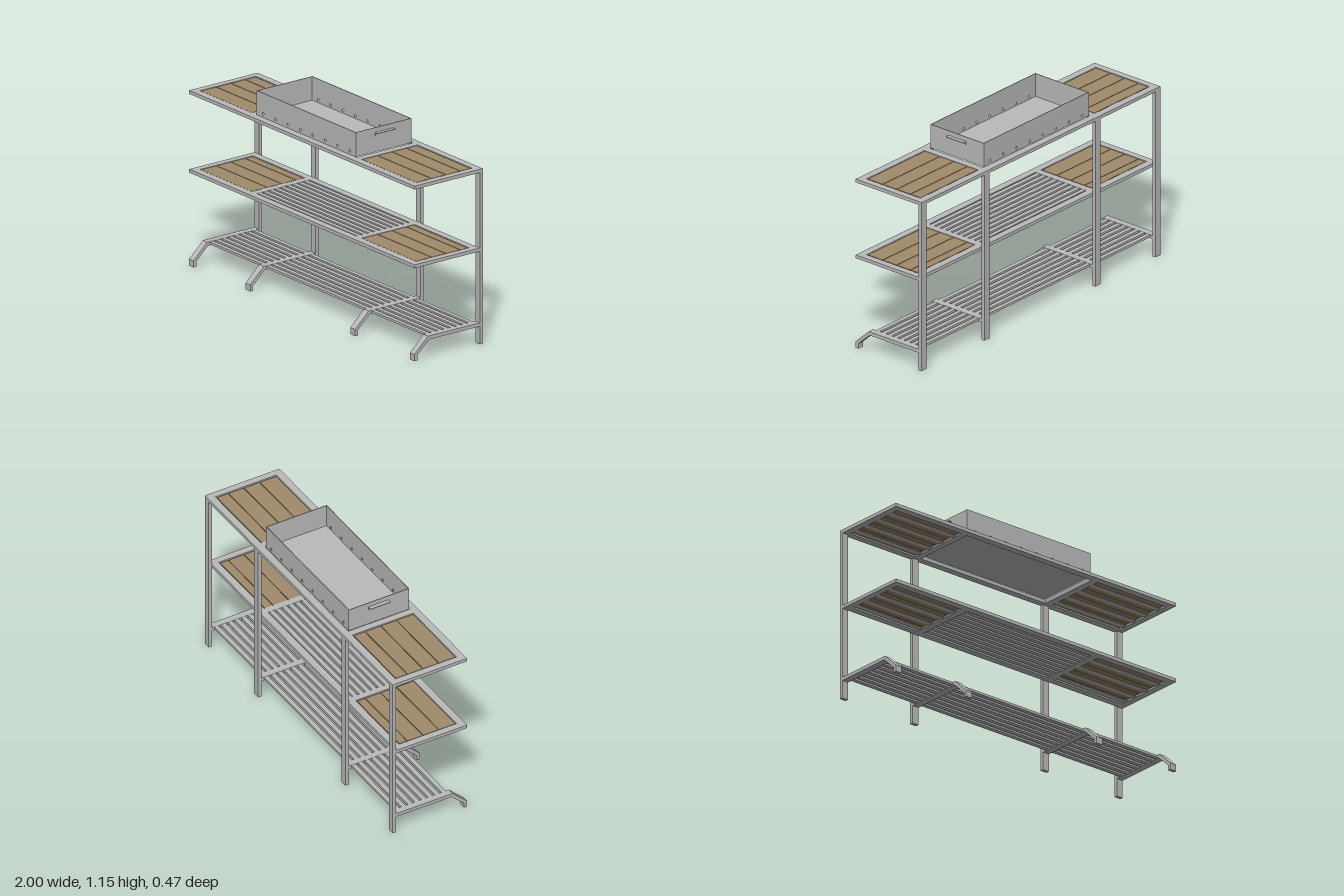
import * as THREE from 'three';

export function createModel() {
  const model = new THREE.Group();
  const steel = new THREE.MeshStandardMaterial({ color: 0xbababa });
  steel.name = 'steel';
  const wood = new THREE.MeshStandardMaterial({ color: 0xa08a6a });
  wood.name = 'wood';

  // Box given by its limits on each axis
  function box(name, [x0, x1], [y0, y1], [z0, z1], material = steel, parent = model) {
    const mesh = new THREE.Mesh(new THREE.BoxGeometry(x1 - x0, y1 - y0, z1 - z0), material);
    mesh.position.set((x0 + x1) / 2, (y0 + y1) / 2, (z0 + z1) / 2);
    mesh.name = name;
    parent.add(mesh);
    return mesh;
  }
  function group(name) {
    const g = new THREE.Group();
    g.name = name;
    model.add(g);
    return g;
  }

  const bays = [[-1, -0.96], [-0.498, -0.457], [0.432, 0.474], [0.96, 1]];
  const W = 0.043;

  // Shelf frame with cross bars and plank panels at both ends
  function shelf(name, y0, zBack) {
    const g = group(name);
    const y = [y0, y0 + 0.02];
    const zFront = 0.237;
    box('frontRail', [-1, 1], y, [zFront - W, zFront], steel, g);
    box('backRail', [-1, 1], y, [zBack, zBack + W], steel, g);
    bays.forEach((x) => box('crossBar', x, y, [zBack + W, zFront - W], steel, g));
    const cuts = [zBack + W + 0.004, -0.116, -0.017, 0.083, 0.191];
    for (const x of [[-0.955, -0.505], [0.476, 0.952]]) {
      for (let i = 0; i < 4; i++) {
        box('plank', x, [y0 + 0.005, y0 + 0.018], [cuts[i] + 0.002, cuts[i + 1] - 0.002], wood, g);
      }
      // Small tabs that carry the planks
      for (let i = 0; i < 4; i++) {
        const z = (cuts[i] + cuts[i + 1]) / 2;
        box('plankTab', [x[0] - 0.006, x[1] + 0.009], [y0 + 0.003, y0 + 0.005], [z - 0.015, z + 0.015], steel, g);
      }
    }
    return g;
  }
  shelf('topShelf', 1.039, -0.236);
  const middle = shelf('middleShelf', 0.584, -0.215);

  // Slats in the centre of the middle shelf
  for (let i = 0; i < 9; i++) {
    const z = -0.15 + i * 0.0405;
    box('slat', [-0.458, 0.433], [0.588, 0.603], [z - 0.013, z + 0.013], steel, middle);
  }

  // Posts and cranked legs
  const profile = [
    [-0.216, 0.151], [0.137, 0.151], [0.217, 0.077], [0.217, 0.047],
    [0.237, 0.047], [0.237, 0.085], [0.144, 0.172], [-0.216, 0.172],
  ];
  const legShape = new THREE.Shape(profile.map(([z, y]) => new THREE.Vector2(z, y)));
  for (const [x0, x1] of bays) {
    box('post', [x0, x1], [0.047, 1.04], [-0.236, -0.215]);
    const geometry = new THREE.ExtrudeGeometry(legShape, { depth: x1 - x0, bevelEnabled: false });
    geometry.rotateY(-Math.PI / 2);
    const leg = new THREE.Mesh(geometry, steel);
    leg.position.x = x1;
    leg.name = 'leg';
    model.add(leg);
  }

  // Slats of the bottom shelf
  const bottom = group('bottomShelf');
  for (let i = 0; i < 8; i++) {
    const z = -0.185 + i * 0.0425;
    box('slat', [-0.98, 0.98], [0.157, 0.171], [z - 0.013, z + 0.013], steel, bottom);
  }

  // Open fire box with air holes in its long walls
  const fireBox = group('fireBox');
  const [bx0, bx1, by0, by1, bz0, bz1, t] = [-0.455, 0.425, 1.059, 1.2, -0.19, 0.194, 0.004];
  const wall = new THREE.Shape();
  wall.moveTo(bx0, by0).lineTo(bx1, by0).lineTo(bx1, by1).lineTo(bx0, by1).closePath();
  for (let i = 0; i < 8; i++) {
    const hole = new THREE.Path();
    hole.absarc(-0.398 + i * 0.11, 1.08, 0.008, 0, Math.PI * 2, true);
    wall.holes.push(hole);
  }
  const wallGeometry = new THREE.ExtrudeGeometry(wall, { depth: t, bevelEnabled: false, curveSegments: 8 });
  for (const z of [bz0, bz1 - t]) {
    const mesh = new THREE.Mesh(wallGeometry, steel);
    mesh.position.z = z;
    mesh.name = 'longWall';
    fireBox.add(mesh);
  }
  box('floor', [bx0, bx1], [by0, by0 + t], [bz0 + t, bz1 - t], steel, fireBox);
  for (const [x, side] of [[bx0, -1], [bx1, 1]]) {
    const inner = x - side * t;
    box('endWall', [Math.min(x, inner), Math.max(x, inner)], [by0, by1], [bz0 + t, bz1 - t], steel, fireBox);
    // Folded handle: a flat lip and a short flange against the wall
    const outer = x + side * 0.023;
    box('handleLip', [Math.min(x, outer), Math.max(x, outer)], [1.169, 1.173], [-0.063, 0.063], steel, fireBox);
    const flange = x + side * 0.004;
    box('handleFlange', [Math.min(x, flange), Math.max(x, flange)], [1.153, 1.169], [-0.063, 0.063], steel, fireBox);
  }

  return model;
}
